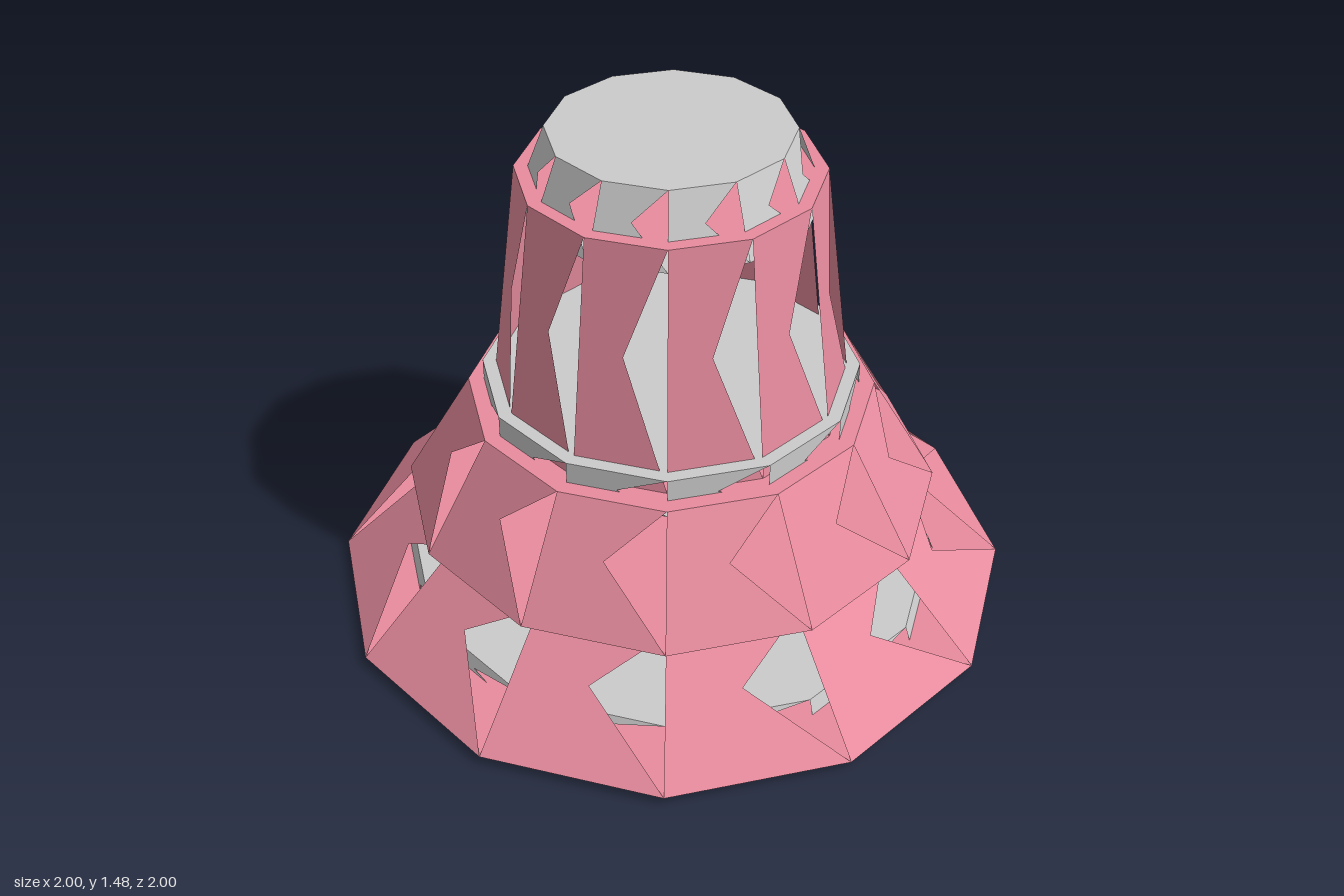
import * as THREE from 'three';

const SIDES = 12;

// Point on a 12-sided ring; i runs to the right when seen from outside
const ringPoint = (r, y, i) => {
  const a = (i / SIDES) * Math.PI * 2;
  return new THREE.Vector3(r * Math.sin(a), y, r * Math.cos(a));
};

// Capped frustum; each side panel has an open triangular notch along its right edge
function notchedFrustum(rBottom, rTop, y0, y1) {
  const pos = [];
  const tri = (...pts) => pts.forEach((p) => pos.push(p.x, p.y, p.z));
  const bottom = new THREE.Vector3(0, y0, 0);
  const top = new THREE.Vector3(0, y1, 0);
  for (let i = 0; i < SIDES; i++) {
    const bl = ringPoint(rBottom, y0, i), br = ringPoint(rBottom, y0, i + 1);
    const tl = ringPoint(rTop, y1, i), tr = ringPoint(rTop, y1, i + 1);
    // where the panel's diagonals cross
    const c = br.clone().lerp(tl, rBottom / (rBottom + rTop));
    tri(bl, br, c);
    tri(bl, c, tl);
    tri(tl, c, tr);
    tri(bottom, br, bl);
    tri(top, tl, tr);
  }
  const geo = new THREE.BufferGeometry();
  geo.setAttribute('position', new THREE.Float32BufferAttribute(pos, 3));
  geo.computeVertexNormals();
  return geo;
}

export function createModel() {
  const group = new THREE.Group();
  const style = { flatShading: true, side: THREE.DoubleSide };
  const pink = new THREE.MeshStandardMaterial({ color: 0xe88c9f, ...style });
  const grey = new THREE.MeshStandardMaterial({ color: 0xcccccc, ...style });

  // name, material, bottom radius, top radius, bottom y, top y
  const parts = [
    ['base', grey, 0.815, 0.79, 0, 0.07],
    ['lowerSkirt', pink, 1.0, 0.7, 0.025, 0.322],
    ['upperSkirt', pink, 0.78, 0.585, 0.325, 0.655],
    ['collar', grey, 0.54, 0.54, 0.6, 0.72],
    ['tower', pink, 0.51, 0.42, 0.652, 1.355],
    ['cap', grey, 0.41, 0.335, 1.28, 1.475],
  ];
  for (const [name, material, rb, rt, y0, y1] of parts) {
    const mesh = new THREE.Mesh(notchedFrustum(rb, rt, y0, y1), material);
    mesh.name = name;
    group.add(mesh);
  }
  return group;
}
